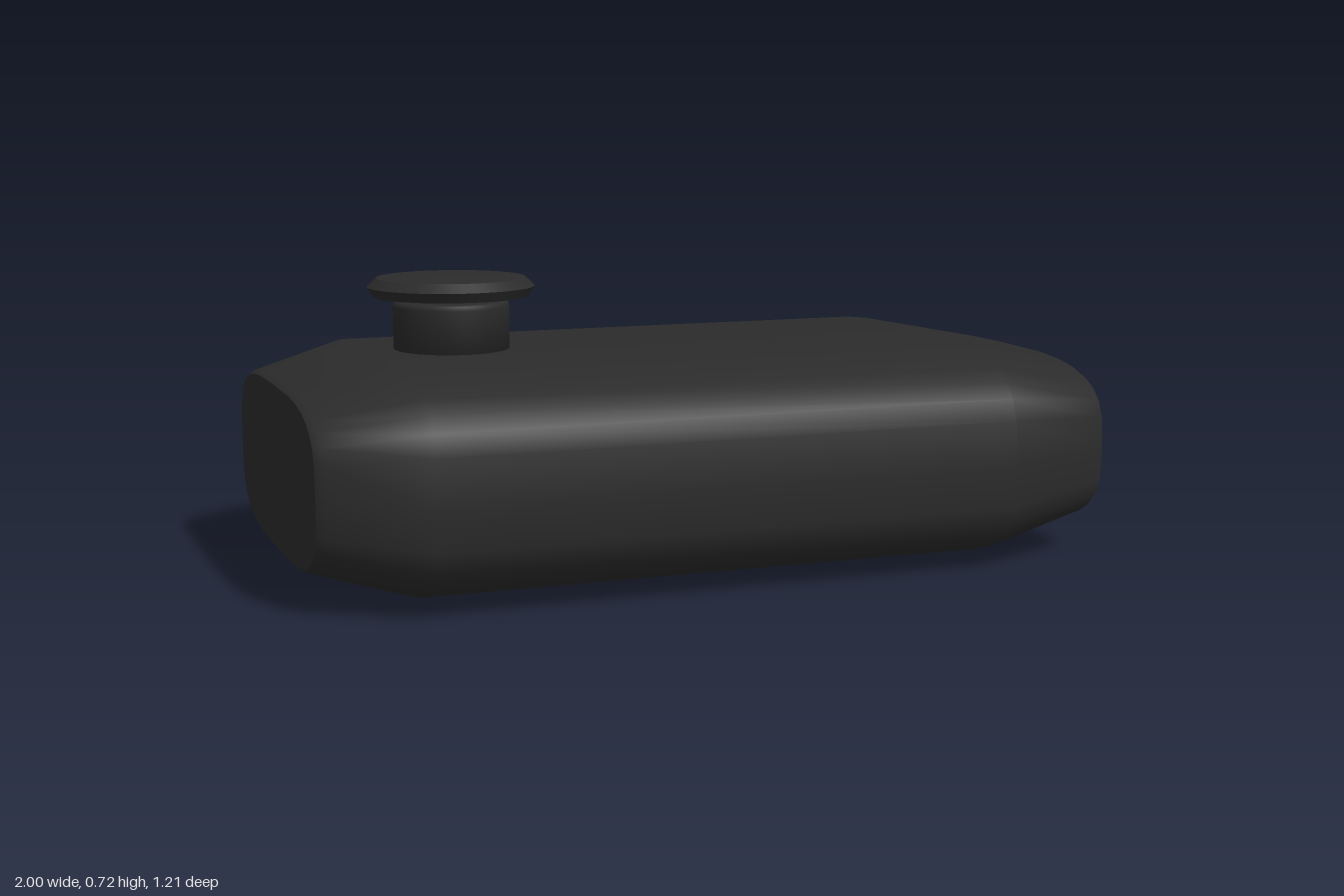
import * as THREE from 'three';

const SIDES = 32;
const POWER = 2 / 3.5; // rounded-box cross-section
const MID_Y = 0.272;

// Cross-section ring at x with half depth hz and half height hy
function ring(x, hz, hy) {
  const pts = [];
  for (let j = 0; j < SIDES; j++) {
    const a = (j / SIDES) * Math.PI * 2;
    const c = Math.cos(a), s = Math.sin(a);
    pts.push([
      x,
      MID_Y + hy * Math.sign(s) * Math.pow(Math.abs(s), POWER),
      hz * Math.sign(c) * Math.pow(Math.abs(c), POWER),
    ]);
  }
  return pts;
}

// Smooth skin through the rings, with separate flat end faces
function loft(rings) {
  const pos = rings.flat(2), index = [];
  for (let i = 0; i < rings.length - 1; i++) {
    for (let j = 0; j < SIDES; j++) {
      const k = (j + 1) % SIDES;
      const a = i * SIDES + j, b = (i + 1) * SIDES + j;
      const c = (i + 1) * SIDES + k, d = i * SIDES + k;
      index.push(a, b, d, b, c, d);
    }
  }
  for (const [r, flip] of [[rings[0], true], [rings[rings.length - 1], false]]) {
    const start = pos.length / 3;
    pos.push(...r.flat(), r[0][0], MID_Y, 0);
    for (let j = 0; j < SIDES; j++) {
      const a = start + j, b = start + (j + 1) % SIDES, centre = start + SIDES;
      index.push(centre, ...(flip ? [a, b] : [b, a]));
    }
  }
  const geo = new THREE.BufferGeometry();
  geo.setAttribute('position', new THREE.Float32BufferAttribute(pos, 3));
  geo.setIndex(index);
  geo.computeVertexNormals();
  return geo;
}

// Closed turned part from [radius, y] points
const turned = (points) =>
  new THREE.LatheGeometry(points.map(([r, y]) => new THREE.Vector2(r, y)), 48);

export function createModel() {
  const group = new THREE.Group();
  const charcoal = new THREE.MeshStandardMaterial({ color: 0x2b2b2b });
  charcoal.name = 'charcoal';

  const add = (name, geo, x = 0) => {
    const mesh = new THREE.Mesh(geo, charcoal);
    mesh.name = name;
    mesh.position.x = x;
    group.add(mesh);
  };

  // Pillow-shaped body with tapered, softly bevelled ends
  add('body', loft([
    ring(-1, 0.47, 0.2),
    ring(-0.985, 0.485, 0.21),
    ring(-0.76, 0.605, 0.27),
    ring(0.68, 0.605, 0.27),
    ring(0.985, 0.488, 0.212),
    ring(1, 0.475, 0.202),
  ]));

  // Neck on the top
  add('neck', turned([
    [0, 0.5], [0.142, 0.5], [0.142, 0.645], [0.139, 0.655], [0.13, 0.658], [0.13, 0.658], [0, 0.658],
  ]), -0.56);

  // Thin domed cap floating just above the neck
  add('cap', turned([
    [0, 0.67], [0.19, 0.67], [0.19, 0.67], [0.205, 0.694], [0.205, 0.694],
    [0.182, 0.715], [0.182, 0.715], [0.1, 0.72], [0, 0.722],
  ]), -0.56);

  return group;
}
